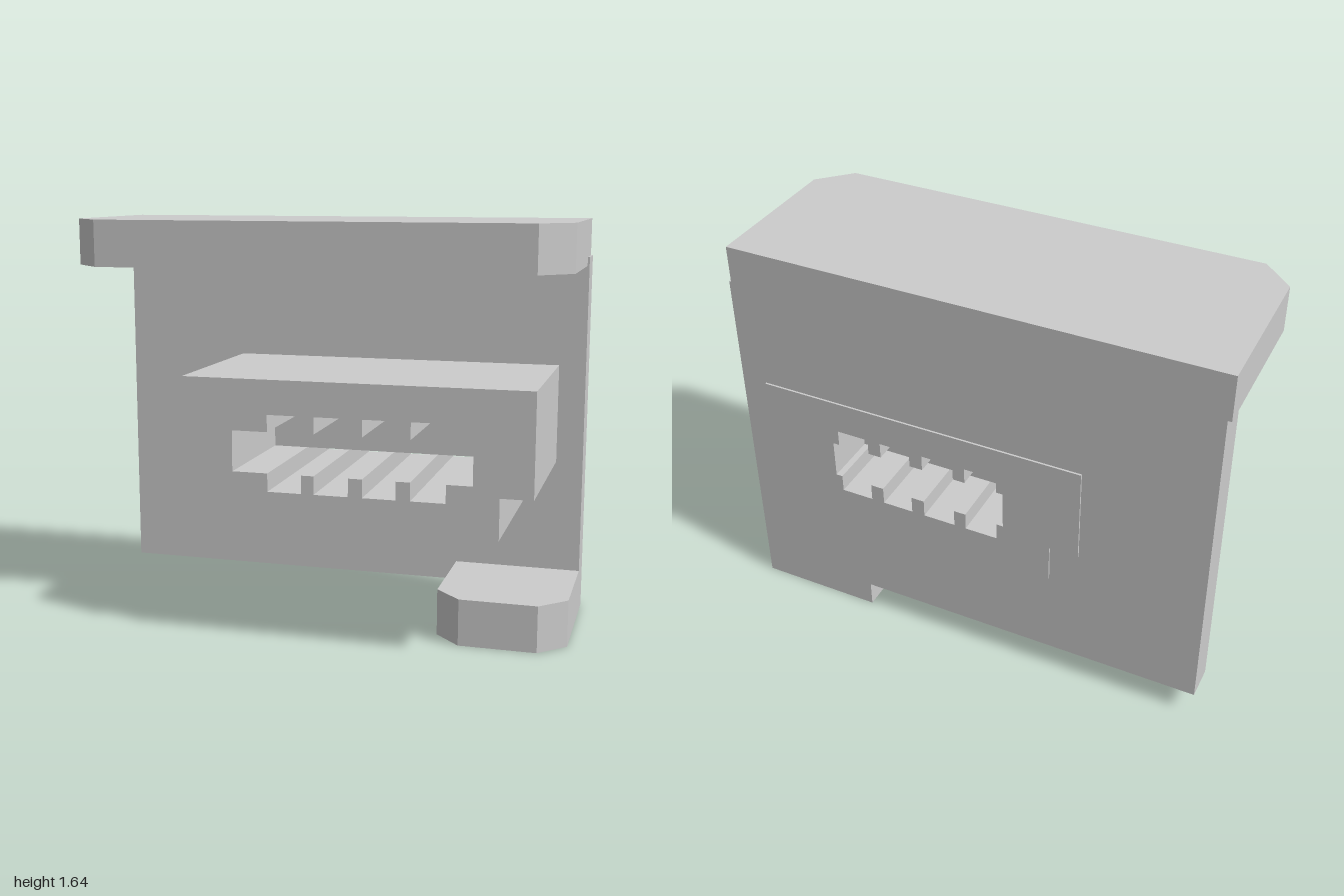
import * as THREE from 'three';

const material = new THREE.MeshStandardMaterial({ color: 0xcccccc, flatShading: true });
const points = (list) => list.map(([x, y]) => new THREE.Vector2(x, y));

// Flat outline with holes, extruded from z0 to z1
function slab(name, outline, holes, z0, z1) {
  const shape = new THREE.Shape(points(outline));
  for (const hole of holes) shape.holes.push(new THREE.Path(points(hole)));
  const geometry = new THREE.ExtrudeGeometry(shape, { depth: z1 - z0, bevelEnabled: false });
  geometry.translate(0, 0, z0);
  const mesh = new THREE.Mesh(geometry, material);
  mesh.name = name;
  return mesh;
}

// Horizontal shelf with its two front corners chamfered
function shelf(name, x0, x1, y0, y1, z0, z1, c) {
  const outline = [[x0, z0], [x1, z0], [x1, z1 - c], [x1 - c, z1], [x0 + c, z1], [x0, z1 - c]];
  const mesh = slab(name, outline, [], 0, y1 - y0);
  mesh.geometry.rotateX(Math.PI / 2).translate(0, y1, 0);
  return mesh;
}

const contacts = [[-0.13, 0.005], [0.055, 0.19], [0.245, 0.375], [0.43, 0.565]];
const SLOT_LOW = 0.687, SLOT_HIGH = 0.848, NOTCH_LOW = 0.615, NOTCH_HIGH = 0.915;

// Slot opening from x0 to x1 with contact notches above and below
function slotOutline(x0, x1) {
  const low = [[x0, SLOT_LOW]], high = [[x0, SLOT_HIGH]];
  for (const [a, b] of contacts) {
    low.push([a, SLOT_LOW], [a, NOTCH_LOW], [b, NOTCH_LOW], [b, SLOT_LOW]);
    high.push([a, SLOT_HIGH], [a, NOTCH_HIGH], [b, NOTCH_HIGH], [b, SLOT_HIGH]);
  }
  low.push([x1, SLOT_LOW]);
  high.push([x1, SLOT_HIGH]);
  return [...low, ...high.reverse()];
}

export function createModel() {
  const model = new THREE.Group();
  model.name = 'socketBracket';

  const housing = [
    [-0.355, 0.487], [0.765, 0.487], [0.765, 0.648], [0.89, 0.648],
    [0.89, 1.05], [-0.475, 1.05], [-0.475, 0.648], [-0.355, 0.648],
  ];

  // Back plate, stepped where the shelves join it
  const plate = [
    [-0.985, 0.11], [0.48, 0.11], [0.48, 0], [0.998, 0], [0.998, 1.49], [0.99, 1.49],
    [0.99, 1.64], [-1, 1.64], [-1, 1.455], [-0.985, 1.455],
  ];
  model.add(slab('backPlate', plate, [housing], -0.417, -0.28));

  // Upper and lower shelves
  model.add(shelf('topShelf', -1, 0.99, 1.455, 1.64, -0.28, 0.323, 0.123));
  model.add(shelf('bottomShelf', 0.48, 0.998, 0, 0.188, -0.28, 0.233, 0.105));

  // Socket: front pocket, pierced dividing wall, narrower rear pocket
  const socket = new THREE.Group();
  socket.name = 'socket';
  const passages = contacts.flatMap(([a, b]) =>
    [[NOTCH_LOW, SLOT_LOW], [SLOT_HIGH, NOTCH_HIGH]].map(([c, d]) => [[a, c], [b, c], [b, d], [a, d]]));
  socket.add(
    slab('frontHousing', housing, [slotOutline(-0.272, 0.665)], -0.1, 0.425),
    slab('dividingWall', housing, passages, -0.2, -0.1),
    slab('rearHousing', housing, [slotOutline(-0.158, 0.592)], -0.425, -0.2),
  );
  model.add(socket);
  return model;
}
